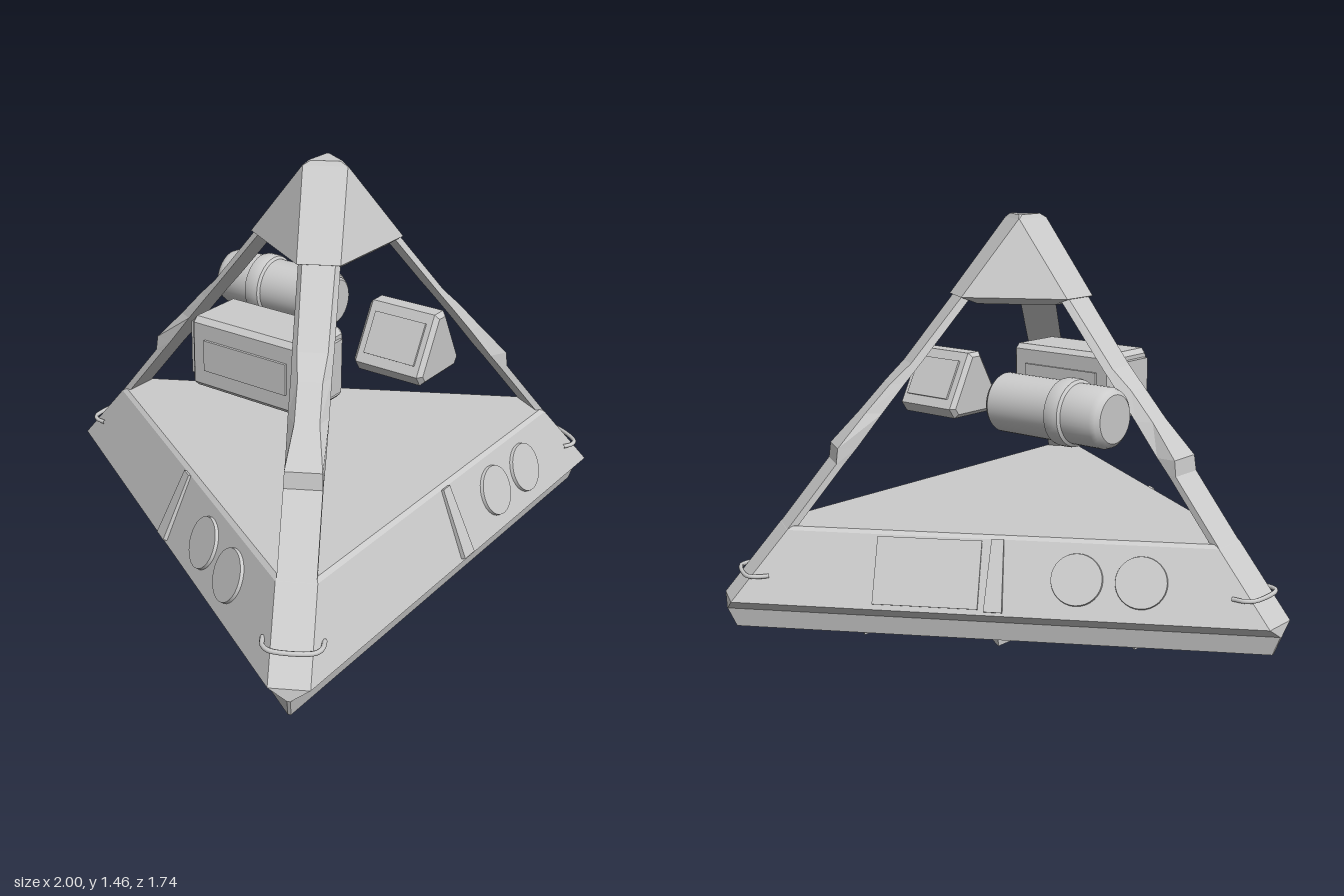
import * as THREE from 'three';
import { toCreasedNormals } from 'three/addons/utils/BufferGeometryUtils.js';

const CZ = 0.25; // z of the pyramid axis
const CORNERS = [90, 210, 330].map(THREE.MathUtils.degToRad);
const SIDES = [270, 30, 150].map(THREE.MathUtils.degToRad); // front, right, left
const flat = new THREE.MeshStandardMaterial({ color: 0xcccccc, flatShading: true });
const smooth = new THREE.MeshStandardMaterial({ color: 0xcccccc });

function add(parent, name, geometry, material = flat) {
  const mesh = new THREE.Mesh(geometry, material);
  mesh.name = name;
  parent.add(mesh);
  return mesh;
}

function addGroup(parent, name) {
  const group = new THREE.Group();
  group.name = name;
  parent.add(group);
  return group;
}

// Joins rings of points (bottom to top, counter-clockwise from above) and closes both ends
function loft(rings) {
  const pos = [];
  const tri = (...pts) => pts.forEach((p) => pos.push(p.x, p.y, p.z));
  const n = rings[0].length;
  for (let r = 0; r < rings.length - 1; r++) {
    for (let i = 0; i < n; i++) {
      const j = (i + 1) % n;
      const [a, b, c, d] = [rings[r][i], rings[r][j], rings[r + 1][j], rings[r + 1][i]];
      tri(a, b, c);
      tri(a, c, d);
    }
  }
  const first = rings[0], last = rings[rings.length - 1];
  for (let i = 1; i < n - 1; i++) {
    tri(first[0], first[i + 1], first[i]);
    tri(last[0], last[i], last[i + 1]);
  }
  const geometry = new THREE.BufferGeometry();
  geometry.setAttribute('position', new THREE.Float32BufferAttribute(pos, 3));
  geometry.computeVertexNormals();
  return geometry;
}

// Triangle with cut corners: r = distance to the cut, h = half width of the cut
function cutTriangle([y, r, h]) {
  const up = new THREE.Vector3(0, 1, 0);
  return CORNERS.flatMap((a) => [h, -h].map((z) => new THREE.Vector3(r, y, z).applyAxisAngle(up, a)));
}

// Four-sided leg section: outer face h wide, inner face w wide, d deep
function legSection([y, r, h, w, d]) {
  return [[r, h], [r, -h], [r - d, -w], [r - d, w]].map(([x, z]) => new THREE.Vector3(x, y, z));
}

// Extrudes an outline along z between z0 and z1 with bevelled ends
function bevelled(points, z0, z1, bevel) {
  const shape = new THREE.Shape(points.map(([x, y]) => new THREE.Vector2(x, y)));
  return new THREE.ExtrudeGeometry(shape, {
    depth: z1 - z0 - 2 * bevel, bevelThickness: bevel, bevelSize: bevel, bevelOffset: -bevel, bevelSegments: 1,
  }).translate(0, 0, z0 + bevel);
}

function buildBase(frame) {
  add(frame, 'lowerPlinth', loft([[0.03, 1.09, 0.005], [0.1, 1.12, 0.005], [0.14, 1.115, 0.065]].map(cutTriangle)));
  add(frame, 'upperBase', loft([[0.14, 1.115, 0.065], [0.38, 0.909, 0.065], [0.392, 0.89, 0.06]].map(cutTriangle)));

  // Nested triangular plates on the underside
  const plate = (name, r, x, z, y) => {
    const mesh = add(frame, name, new THREE.CylinderGeometry(r, r, 0.034 - y, 3));
    mesh.position.set(x, (0.034 + y) / 2, z);
  };
  plate('largeBottomPlate', 0.53, 0, 0, 0);
  CORNERS.forEach((a) => plate('smallBottomPlate', 0.265, 0.55 * Math.cos(a), -0.55 * Math.sin(a), 0.018));

  // Details on each sloping side
  SIDES.forEach((angle, i) => {
    const side = addGroup(frame, 'basePanel');
    side.rotation.y = angle;
    const slope = addGroup(side, 'slopeDetails');
    slope.position.set(0.56, 0.265, 0);
    slope.rotation.z = 0.408;
    const ridge = add(slope, 'centreRidge', new THREE.CylinderGeometry(0.03, 0.045, 0.25, 4, 1).rotateY(Math.PI / 4));
    ridge.scale.x = 0.5;
    for (const z of [-0.28, -0.5]) {
      const disc = add(slope, 'roundCover', toCreasedNormals(
        new THREE.CylinderGeometry(0.088, 0.092, 0.024, 32).rotateZ(-Math.PI / 2), 0.6), smooth);
      disc.position.z = z;
    }
    if (i === 1) {
      add(slope, 'sideHatch', new THREE.BoxGeometry(0.014, 0.235, 0.37)).position.z = 0.24;
    }
  });
}

function buildLegs(frame) {
  // y, radius, outer half width, inner half width, depth
  const sections = [
    [0.36, 0.925, 0.062, 0.062, 0.03], [0.6, 0.727, 0.062, 0.062, 0.03],
    [0.655, 0.72, 0.06, 0.064, 0.07], [0.77, 0.613, 0.04, 0.066, 0.055],
    [0.87, 0.52, 0.04, 0.066, 0.045], [0.94, 0.445, 0.05, 0.068, 0.03],
    [1.19, 0.238, 0.055, 0.07, 0.03],
  ];
  const wire = new THREE.CatmullRomCurve3(
    [[0.985, 0.095], [1.03, 0.09], [1.055, 0.065], [1.055, -0.065], [1.03, -0.09], [0.985, -0.095]]
      .map(([x, z]) => new THREE.Vector3(x, 0.23, z)), false, 'centripetal');
  CORNERS.forEach((angle) => {
    const corner = addGroup(frame, 'corner');
    corner.rotation.y = angle;
    add(corner, 'leg', loft(sections.map(legSection)));
    add(corner, 'cornerHandle', new THREE.TubeGeometry(wire, 32, 0.008, 8), smooth);
  });
}

function buildCap(frame) {
  add(frame, 'cap', loft([
    [1.145, 0.2, 0.07], [1.17, 0.262, 0.072], [1.44, 0.045, 0.075], [1.455, 0.035, 0.05],
  ].map(cutTriangle)));
}

function buildBoxUnit(model) {
  const unit = addGroup(model, 'boxUnit');
  unit.position.set(-0.267, 0.818, 0);
  const w = 0.117, h = 0.127, c = 0.018;
  add(unit, 'boxBody', bevelled(
    [[-w + c, -h], [w - c, -h], [w, -h + c], [w, h - c], [w - c, h], [-w + c, h], [-w, h - c], [-w, -h + c]],
    -0.035, 0.44, 0.018));
  for (const s of [-1, 1]) {
    add(unit, 'boxSidePanel', new THREE.BoxGeometry(0.014, 0.11, 0.34)).position.set(s * 0.119, 0, 0.2);
  }
  add(unit, 'boxFrontPanel', new THREE.BoxGeometry(0.17, 0.19, 0.014)).position.z = 0.443;
  add(unit, 'boxRearPanel', new THREE.BoxGeometry(0.17, 0.19, 0.024)).position.z = -0.043;
}

function buildPrismUnit(model) {
  const unit = addGroup(model, 'prismUnit');
  unit.position.x = 0.133;
  add(unit, 'prismBody', bevelled(
    [[-0.107, 0.718], [0.107, 0.718], [0.132, 0.755], [0.028, 0.95], [-0.028, 0.95], [-0.132, 0.755]],
    0.37, 0.645, 0.015));
  for (const s of [-1, 1]) {
    const panel = add(unit, 'prismSidePanel', new THREE.BoxGeometry(0.016, 0.15, 0.2));
    panel.position.set(s * 0.08, 0.8525, 0.51);
    panel.rotation.z = s * 0.49;
  }
}

function buildCylinderUnit(model) {
  // Body with a front lip, a raised band and a rounded rear end
  const profile = [
    [0, -0.112], [0.082, -0.112], [0.09, -0.106], [0.09, -0.096], [0.098, -0.096], [0.104, -0.088], [0.104, 0.165],
    [0.114, 0.172], [0.117, 0.185], [0.117, 0.215], [0.114, 0.228], [0.104, 0.235],
    [0.104, 0.355], [0.097, 0.373], [0.082, 0.385], [0, 0.385],
  ].map(([r, y]) => new THREE.Vector2(r, y));
  const body = add(model, 'cylinderUnit', toCreasedNormals(new THREE.LatheGeometry(profile, 40), 0.6), smooth);
  body.rotation.x = -Math.PI / 2;
  body.position.set(0.283, 0.825, 0);
}

export function createModel() {
  const model = new THREE.Group();
  model.name = 'pyramidFrame';
  const frame = addGroup(model, 'frame');
  frame.position.z = CZ;
  buildBase(frame);
  buildLegs(frame);
  buildCap(frame);
  buildBoxUnit(model);
  buildPrismUnit(model);
  buildCylinderUnit(model);
  return model;
}
